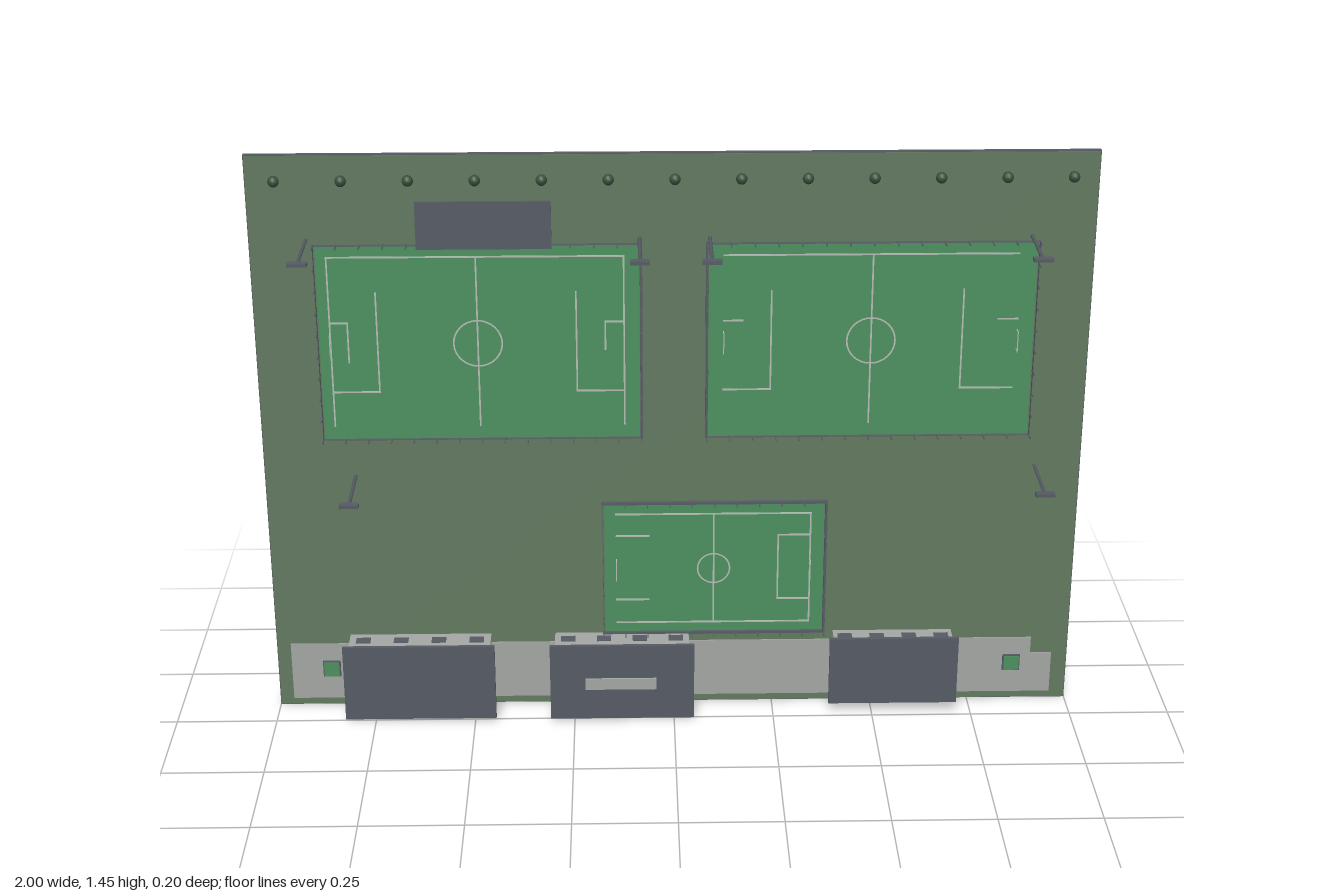
import * as THREE from 'three';

export function createModel() {
  const root = new THREE.Group();
  const mat = (name, color) => {
    const m = new THREE.MeshStandardMaterial({ color });
    m.name = name;
    return m;
  };
  const grass = mat('grass', 0x62785f);
  const turf = mat('turf', 0x4c8f5e);
  const dark = mat('dark grey', 0x555a63);
  const pale = mat('pale grey', 0xa3a5a3);
  const chalk = mat('chalk', 0xb4bab4);
  const leaf = mat('leaf', 0x35503a);
  const G = -0.085; // ground surface, the site rises toward +z

  const group = (name, parent = root) => {
    const g = new THREE.Group();
    g.name = name;
    parent.add(g);
    return g;
  };
  // Box given by its limits on each axis
  const box = (parent, name, m, x0, x1, y0, y1, z0, z1) => {
    const b = new THREE.Mesh(new THREE.BoxGeometry(x1 - x0, y1 - y0, z1 - z0), m);
    b.position.set((x0 + x1) / 2, (y0 + y1) / 2, (z0 + z1) / 2);
    b.name = name;
    parent.add(b);
    return b;
  };
  // Round pole along z
  const pole = (parent, name, m, x, y, z0, z1, r) => {
    const p = new THREE.Mesh(new THREE.CylinderGeometry(r, r, z1 - z0, 8), m);
    p.rotation.x = Math.PI / 2;
    p.position.set(x, y, (z0 + z1) / 2);
    p.name = name;
    parent.add(p);
  };

  // Ground slab, lawn and paving
  box(root, 'baseSlab', dark, -1, 1, 0, 1.45, -0.1, -0.087);
  box(root, 'lawn', grass, -0.998, 0.998, 0.002, 1.448, -0.087, G);
  const paving = group('paving');
  box(paving, 'pavingMain', pale, -0.965, 0.906, 0.02, 0.174, G, G + 0.003);
  box(paving, 'pavingEnd', pale, 0.906, 0.96, 0.02, 0.13, G, G + 0.003);
  for (const x of [-0.864, 0.858]) {
    box(root, 'planterRim', dark, x - 0.022, x + 0.022, 0.083, 0.127, G, -0.077);
    box(root, 'planterTop', turf, x - 0.019, x + 0.019, 0.086, 0.124, -0.077, -0.073);
  }

  // Pitch: turf, markings, fence and goals
  // edges lists the sides with a solid rail; boxes are [outer depth, half height]
  function pitch(name, x0, x1, y0, y1, f, solid, lines, goals) {
    const g = group(name);
    box(g, 'turf', turf, x0 + 0.004, x1 - 0.004, y0, y1 - 0.003, G, G + 0.003);
    const line = (a, b, c, d) => {
      const t = 0.002;
      box(g, 'marking', chalk, Math.min(a, c) - t, Math.max(a, c) + t,
        Math.min(b, d) - t, Math.max(b, d) + t, G + 0.003, G + 0.005);
    };
    lines.forEach((l) => line(...l));
    const ring = new THREE.Mesh(new THREE.RingGeometry(f.r - 0.002, f.r + 0.002, 32), chalk);
    ring.position.set(f.x, f.y, G + 0.005);
    ring.name = 'centreCircle';
    g.add(ring);

    const fence = group('fence', g);
    const sides = { left: [x1, y0, x1, y1], right: [x0, y0, x0, y1], top: [x0, y1, x1, y1], bottom: [x0, y0, x1, y0] };
    for (const [side, [a, b, c, d]] of Object.entries(sides)) {
      const t = solid.includes(side) ? 0.003 : 0.0006;
      box(fence, side + 'Rail', dark, a - t, c + t, b - t, d + t, G, -0.074);
      const n = Math.round((c - a + d - b) / 0.055);
      for (let i = 0; i <= n; i++) {
        const x = a + (c - a) * i / n, y = b + (d - b) * i / n;
        box(fence, 'post', dark, x - 0.0015, x + 0.0015, y - 0.0015, y + 0.0015, G, -0.052);
      }
    }
    // Goals: two uprights and a crossbar at each end
    for (const x of goals) {
      const goal = group('goal', g), h = 0.025, t = 0.0012;
      for (const s of [-1, 1]) box(goal, 'upright', chalk, x - t, x + t, f.y + s * h - t, f.y + s * h + t, G, -0.062);
      box(goal, 'crossbar', chalk, x - t, x + t, f.y - h, f.y + h, -0.064, -0.062);
    }
  }
  const yT = 1.2, yB = 0.77, yA = 1.11, yC = 0.858;
  pitch('rightPitch', -0.85, -0.077, 0.735, 1.23, { x: -0.468, y: 0.982, r: 0.058 }, ['left'], [
    [-0.82, yT, -0.118, yT], [-0.82, yB, -0.82, yT], [-0.118, yB, -0.118, yT], [-0.468, yB, -0.468, yT],
    [-0.708, yC, -0.708, yA], [-0.82, yC, -0.708, yC],
    [-0.778, 0.935, -0.778, 1.035], [-0.82, 1.035, -0.778, 1.035],
    [-0.232, yC, -0.232, yA], [-0.232, yC, -0.118, yC],
    [-0.163, 0.965, -0.163, 1.035], [-0.163, 1.035, -0.118, 1.035],
  ], [-0.82, -0.118]);
  pitch('leftPitch', 0.08, 0.868, 0.735, 1.23, { x: 0.474, y: 0.982, r: 0.058 }, ['right'], [
    [0.12, yT, 0.82, yT], [0.474, yB, 0.474, yT],
    [0.234, yC, 0.234, yA], [0.12, yC, 0.234, yC], [0.12, 1.035, 0.165, 1.035],
    [0.693, yC, 0.693, yA], [0.693, yC, 0.82, yC], [0.778, 1.035, 0.825, 1.035],
  ], [0.12, 0.825]);
  pitch('smallPitch', -0.175, 0.378, 0.2, 0.558, { x: 0.1, y: 0.378, r: 0.04 }, ['left', 'top', 'bottom'], [
    [-0.142, 0.527, 0.34, 0.527], [-0.142, 0.228, 0.34, 0.228], [0.34, 0.228, 0.34, 0.527], [0.1, 0.228, 0.1, 0.527],
    [-0.142, 0.468, -0.062, 0.468], [-0.142, 0.292, -0.062, 0.292],
    [0.26, 0.292, 0.26, 0.468], [0.26, 0.468, 0.34, 0.468], [0.26, 0.292, 0.34, 0.292],
  ], [-0.142, 0.34]);

  // Buildings with overhanging flat roofs and a row of windows front and back
  function building(name, x0, x1, y0, y1, top) {
    const g = group(name), e = 0.012;
    box(g, 'walls', pale, x0 + e, x1 - e, y0 + e, y1 - e, G, top - 0.01);
    box(g, 'roof', dark, x0, x1, y0, y1, top - 0.01, top);
    for (let i = 0; i < 4; i++) {
      const x = x0 + (x1 - x0) * (0.125 + i * 0.25);
      for (const y of [y0 + e, y1 - e])
        box(g, 'window', dark, x - 0.018, x + 0.018, y - 0.002, y + 0.002, -0.064, -0.037);
    }
    return g;
  }
  building('rightBuilding', -0.825, -0.447, 0.008, 0.21, 0.01);
  const hall = building('middleBuilding', -0.31, 0.05, 0.006, 0.21, 0.013);
  box(hall, 'skylight', pale, -0.222, -0.045, 0.09, 0.12, 0.013, 0.018);
  building('leftBuilding', 0.39, 0.713, 0.028, 0.21, -0.012);

  // Grandstand: roof, columns and stepped seat rows
  const stand = group('grandstand');
  box(stand, 'standRoof', dark, -0.6, -0.285, 1.245, 1.36, -0.01, -0.002);
  for (const x of [-0.59, -0.295]) pole(stand, 'column', dark, x, 1.31, G, -0.01, 0.003);
  for (let i = 0; i < 6; i++) {
    const y = 1.256 + i * 0.012, z = -0.077 + i * 0.0078;
    box(stand, 'seatRow', pale, -0.585, -0.3, y, y + 0.012, z - 0.003, z);
    for (const x of [-0.585, -0.303]) box(stand, 'stepRiser', dark, x, x + 0.003, y, y + 0.003, z - 0.008, z);
  }

  // Floodlights
  for (const [x, y] of [[-0.865, 1.243], [-0.08, 1.243], [0.086, 1.243], [0.848, 1.243], [-0.778, 0.635], [0.887, 0.65]]) {
    const g = group('floodlight');
    pole(g, 'mast', dark, x, y, G, 0.085, 0.0045);
    box(g, 'lampHead', dark, x - 0.023, x + 0.023, y - 0.004, y + 0.004, 0.08, 0.1);
  }

  // Row of trees
  for (let i = 0; i < 13; i++) {
    const g = group('tree'), x = -0.927 + i * 0.155;
    pole(g, 'trunk', dark, x, 1.397, G, -0.05, 0.003);
    const crown = new THREE.Mesh(new THREE.SphereGeometry(0.0135, 12, 8), leaf);
    crown.position.set(x, 1.397, -0.05);
    crown.name = 'crown';
    g.add(crown);
  }

  // Bollards beside the small pitch
  for (let i = 0; i < 8; i++)
    pole(root, 'bollard', grass, 0.42 + (i % 4) * 0.037, i < 4 ? 0.275 : 0.235, G, -0.073, 0.003);

  return root;
}
